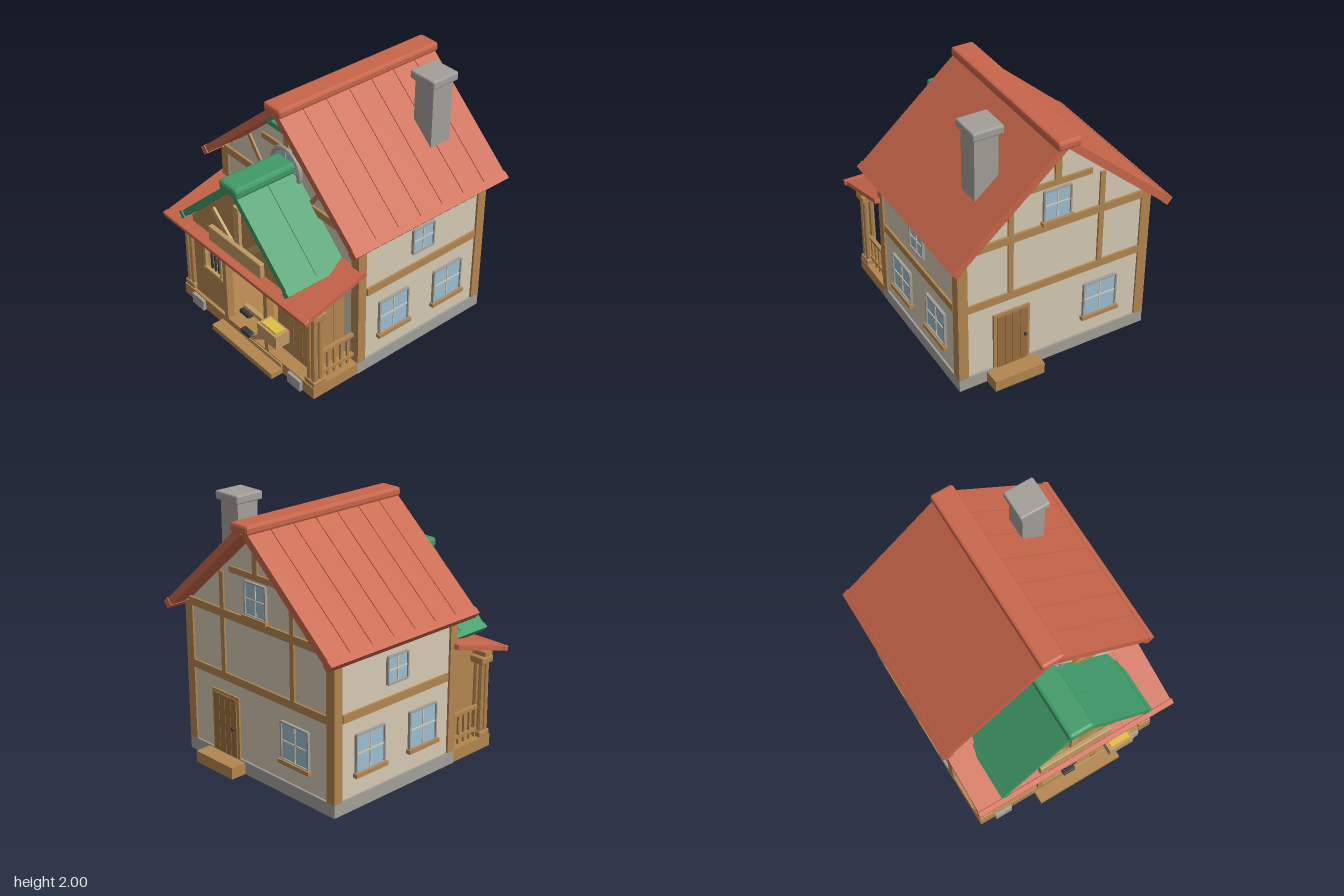
import * as THREE from 'three';
import { RoundedBoxGeometry } from 'three/addons/geometries/RoundedBoxGeometry.js';

const mat = (color) => new THREE.MeshStandardMaterial({ color, flatShading: true, side: THREE.DoubleSide });
const M = {
  red: mat(0xc8664a), green: mat(0x3f9a68), wood: mat(0xb3864f), dark: mat(0x9a6f40), light: mat(0xc09a63),
  cream: mat(0xd6cab4), stone: mat(0xa3a099), glass: mat(0x9bbfd2), iron: mat(0x34373c), yellow: mat(0xe0c040),
};

function mesh(parent, name, geo, m, x = 0, y = 0, z = 0) {
  const o = new THREE.Mesh(geo, m);
  o.name = name;
  o.position.set(x, y, z);
  parent.add(o);
  return o;
}

// Box given by its extents
function box(parent, name, m, x0, x1, y0, y1, z0, z1) {
  return mesh(parent, name, new THREE.BoxGeometry(x1 - x0, y1 - y0, z1 - z0), m, (x0 + x1) / 2, (y0 + y1) / 2, (z0 + z1) / 2);
}

// Box with chamfered edges
function chamferBox(parent, name, m, x0, x1, y0, y1, z0, z1, r = 0.015) {
  return mesh(parent, name, new RoundedBoxGeometry(x1 - x0, y1 - y0, z1 - z0, 1, r), m, (x0 + x1) / 2, (y0 + y1) / 2, (z0 + z1) / 2);
}

// Beam running between two points of the xy plane
function beam(parent, name, m, xa, ya, xb, yb, thick, z0, z1) {
  const o = mesh(parent, name, new THREE.BoxGeometry(Math.hypot(xb - xa, yb - ya), thick, z1 - z0), m, (xa + xb) / 2, (ya + yb) / 2, (z0 + z1) / 2);
  o.rotation.z = Math.atan2(yb - ya, xb - xa);
  return o;
}

function extrude(points, z0, z1) {
  const g = new THREE.ExtrudeGeometry(new THREE.Shape(points.map((p) => new THREE.Vector2(...p))), { depth: z1 - z0, bevelEnabled: false });
  return g.translate(0, 0, z0);
}

// Window facing +z, centred on its origin
function makeWindow(w, h, sill) {
  const g = new THREE.Group();
  g.name = 'window';
  box(g, 'glass', M.glass, -w / 2, w / 2, -h / 2, h / 2, -0.01, 0.008);
  for (const s of [-1, 1]) {
    box(g, 'windowFrame', M.stone, s * w / 2 - 0.006, s * w / 2 + 0.006, -h / 2, h / 2, -0.01, 0.02);
    box(g, 'windowFrame', M.stone, -w / 2, w / 2, s * h / 2 - 0.006, s * h / 2 + 0.006, -0.01, 0.02);
  }
  box(g, 'mullion', M.cream, -0.005, 0.005, -h / 2, h / 2, 0, 0.014);
  box(g, 'mullion', M.cream, -w / 2, w / 2, -0.005, 0.005, 0, 0.014);
  if (sill) box(g, 'sill', M.wood, -w / 2 - 0.02, w / 2 + 0.02, -h / 2 - 0.03, -h / 2, -0.01, 0.035);
  return g;
}

function placeWindow(parent, w, h, x, y, z, turn, sill = true) {
  const g = makeWindow(w, h, sill);
  g.position.set(x, y, z);
  g.rotation.y = turn;
  parent.add(g);
}

// Pitched roof: planks on a thin core, eave bars and a ridge cap
function gableRoof(parent, name, m, top, eave, thick, z0, z1, planks) {
  const g = new THREE.Group();
  g.name = name;
  const step = (z1 - z0) / planks;
  for (const s of [-1, 1]) {
    const [xa, ya, xb, yb] = [s * top[0], top[1], s * eave[0], eave[1]];
    beam(g, 'roofCore', m, xa, ya, xb, yb, thick * 0.75, z0 + 0.004, z1 - 0.004);
    for (let i = 0; i < planks; i++) beam(g, 'roofPlank', m, xa, ya, xb, yb, thick, z0 + i * step + 0.003, z0 + (i + 1) * step - 0.003);
    const f = 0.95;
    beam(g, 'eaveBar', m, xa + (xb - xa) * f, ya + (yb - ya) * f, xb, yb, thick * 1.15, z0 - 0.004, z1 + 0.004);
  }
  parent.add(g);
  return g;
}

function buildHouse(root) {
  const g = new THREE.Group();
  g.name = 'house';
  root.add(g);
  box(g, 'foundation', M.stone, -0.77, 0.77, 0, 0.1, -0.8, 0.41);
  mesh(g, 'walls', extrude([[-0.755, 0.1], [0.755, 0.1], [0.755, 1.17], [0, 1.83], [-0.755, 1.17]], -0.785, 0.395), M.cream);
  // Timber frame on the long sides
  for (const s of [-1, 1]) {
    for (const [a, b] of [[0.34, 0.41], [-0.8, -0.725]]) {
      box(g, 'cornerPost', M.wood, Math.min(s * 0.695, s * 0.772), Math.max(s * 0.695, s * 0.772), 0.1, 1.18, a, b);
    }
    box(g, 'sideBeam', M.wood, s * 0.76 - 0.012, s * 0.76 + 0.012, 0.675, 0.735, -0.715, 0.325);
    placeWindow(g, 0.27, 0.28, s * 0.757, 0.41, 0.07, s * Math.PI / 2);
    placeWindow(g, 0.27, 0.28, s * 0.757, 0.41, -0.455, s * Math.PI / 2);
    placeWindow(g, 0.195, 0.2, s * 0.757, 0.93, -0.195, s * Math.PI / 2, false);
    // Slanted braces of the front gable and posts of the back
    beam(g, 'gableBrace', M.wood, s * 0.24, 1.2, s * 0.43, 1.45, 0.035, 0.39, 0.41);
    box(g, 'backPost', M.wood, s * 0.36 - 0.02, s * 0.36 + 0.02, 0.72, 1.49, -0.8, -0.78);
  }
  // Front gable
  box(g, 'frontBeam', M.wood, -0.73, 0.73, 1.155, 1.215, 0.39, 0.415);
  box(g, 'gableBeam', M.wood, -0.27, 0.27, 1.505, 1.55, 0.39, 0.412);
  box(g, 'gablePost', M.wood, -0.025, 0.025, 1.5, 1.7, 0.39, 0.41);
  box(g, 'peakTie', M.green, -0.16, 0.16, 1.69, 1.73, 0.39, 0.45);
  for (const s of [-1, 1]) beam(g, 'peakTrim', M.green, 0, 1.845, s * 0.16, 1.705, 0.025, 0.39, 0.45);
  mesh(g, 'roundWindowFrame', new THREE.TorusGeometry(0.147, 0.02, 8, 32), M.stone, 0, 1.395, 0.41);
  mesh(g, 'roundWindowGlass', new THREE.CylinderGeometry(0.14, 0.14, 0.02, 32).rotateX(Math.PI / 2), M.glass, 0, 1.395, 0.405);
  box(g, 'roundWindowBar', M.stone, -0.006, 0.006, 1.26, 1.53, 0.41, 0.422);
  box(g, 'roundWindowBar', M.stone, -0.135, 0.135, 1.389, 1.401, 0.41, 0.422);
  placeWindow(g, 0.2, 0.26, -0.39, 0.41, 0.396, 0);
  // Back wall
  box(g, 'backBeam', M.wood, -0.72, 0.72, 0.675, 0.735, -0.8, -0.78);
  box(g, 'backBeam', M.wood, -0.73, 0.73, 1.155, 1.215, -0.803, -0.78);
  box(g, 'backGableBeam', M.wood, -0.27, 0.27, 1.505, 1.55, -0.8, -0.78);
  box(g, 'backGablePost', M.wood, -0.025, 0.025, 1.55, 1.82, -0.8, -0.78);
  placeWindow(g, 0.21, 0.24, 0, 1.36, -0.787, Math.PI);
  placeWindow(g, 0.27, 0.28, -0.38, 0.41, -0.787, Math.PI);
  box(g, 'backDoorFrame', M.wood, 0.205, 0.495, 0.1, 0.575, -0.8, -0.78);
  for (let i = 0; i < 4; i++) box(g, 'backDoorPlank', M.dark, 0.227 + i * 0.0615, 0.285 + i * 0.0615, 0.1, 0.555, -0.81, -0.79);
  mesh(g, 'backDoorKnob', new THREE.SphereGeometry(0.014, 10, 8), M.iron, 0.25, 0.33, -0.822);
  box(g, 'backStep', M.wood, 0.15, 0.55, 0, 0.09, -0.925, -0.8);
  // Roof and chimney
  const roof = gableRoof(g, 'mainRoof', M.red, [0.02, 1.873], [0.85, 1.143], 0.056, -0.915, 0.52, 7);
  chamferBox(roof, 'ridgeCap', M.red, -0.09, 0.09, 1.86, 1.93, -0.932, 0.528, 0.02);
  box(g, 'chimney', M.stone, 0.36, 0.54, 1.4, 1.95, -0.63, -0.45);
  chamferBox(g, 'chimneyCap', M.stone, 0.33, 0.565, 1.935, 2.0, -0.66, -0.425, 0.012);
}

function buildDoor(g) {
  const arch = (w, top) => {
    const s = new THREE.Shape();
    s.moveTo(-w, 0.1);
    s.lineTo(w, 0.1);
    s.absarc(0, top - w, w, 0, Math.PI);
    return s;
  };
  const opts = { bevelEnabled: false, curveSegments: 14 };
  mesh(g, 'doorFrame', new THREE.ExtrudeGeometry(arch(0.17, 0.67), { ...opts, depth: 0.03 }), M.wood, 0, 0, 0.39);
  mesh(g, 'frontDoor', new THREE.ExtrudeGeometry(arch(0.13, 0.63), { ...opts, depth: 0.012 }), M.dark, 0, 0, 0.42);
  for (const x of [-0.065, 0, 0.065]) box(g, 'doorSeam', M.wood, x - 0.003, x + 0.003, 0.1, 0.6, 0.43, 0.434);
  mesh(g, 'doorGlass', new THREE.CylinderGeometry(0.065, 0.065, 0.02, 24).rotateX(Math.PI / 2), M.glass, 0, 0.43, 0.435);
}

function buildPorch(root) {
  const g = new THREE.Group();
  g.name = 'porch';
  root.add(g);
  box(g, 'porchFloor', M.wood, -0.77, 0.77, 0.005, 0.1, 0.41, 0.815);
  box(g, 'frontStep', M.wood, -0.29, 0.42, 0.005, 0.05, 0.815, 0.915);
  buildDoor(g);
  for (const s of [-1, 1]) {
    box(g, 'stoneBlock', M.stone, s * 0.575 - 0.07, s * 0.575 + 0.07, 0, 0.09, 0.74, 0.84);
    // Clustered corner column with base and capital
    const x = s * 0.715;
    chamferBox(g, 'columnBase', M.wood, x - 0.055, x + 0.055, 0.1, 0.145, 0.7, 0.81, 0.008);
    for (const dx of [-0.024, 0.024]) for (const dz of [-0.024, 0.024]) {
      mesh(g, 'columnShaft', new THREE.CylinderGeometry(0.021, 0.024, 0.56, 8), M.wood, x + dx, 0.42, 0.755 + dz);
    }
    chamferBox(g, 'columnCapital', M.wood, x - 0.06, x + 0.06, 0.685, 0.74, 0.695, 0.815, 0.008);
    box(g, 'innerPost', M.wood, s * 0.24 - 0.02, s * 0.24 + 0.02, 0.1, 0.8, 0.755, 0.815);
    // Side railing
    for (const y of [0.16, 0.34]) box(g, 'rail', M.wood, x - 0.015, x + 0.015, y - 0.012, y + 0.012, 0.41, 0.74);
    for (let i = 0; i < 5; i++) box(g, 'baluster', M.wood, x - 0.009, x + 0.009, 0.1, 0.34, 0.45 + i * 0.06, 0.468 + i * 0.06);
  }
  box(g, 'lintel', M.wood, -0.77, 0.77, 0.735, 0.775, 0.73, 0.81);

  // Plank store on the left, plank screen with a barred opening on the right
  box(g, 'plankStore', M.wood, 0.25, 0.62, 0.1, 0.8, 0.41, 0.71);
  for (const z of [0.51, 0.61]) box(g, 'plankSeam', M.dark, 0.619, 0.624, 0.1, 0.8, z - 0.003, z + 0.003);
  for (const x of [0.42, 0.52]) box(g, 'plankSeam', M.dark, x - 0.003, x + 0.003, 0.1, 0.78, 0.709, 0.714);
  box(g, 'screenSide', M.wood, -0.645, -0.625, 0.1, 0.8, 0.41, 0.77);
  const screen = new THREE.Shape([[-0.645, 0.1], [-0.24, 0.1], [-0.24, 0.76], [-0.645, 0.76]].map((p) => new THREE.Vector2(...p)));
  screen.holes.push(new THREE.Path([[-0.485, 0.42], [-0.485, 0.62], [-0.31, 0.62], [-0.31, 0.42]].map((p) => new THREE.Vector2(...p))));
  mesh(g, 'screen', new THREE.ExtrudeGeometry(screen, { depth: 0.025, bevelEnabled: false }), M.wood, 0, 0, 0.765);
  for (const y of [0.41, 0.63]) box(g, 'openingFrame', M.light, -0.51, -0.285, y - 0.013, y + 0.013, 0.78, 0.81);
  for (const x of [-0.495, -0.3]) box(g, 'openingFrame', M.light, x - 0.011, x + 0.011, 0.41, 0.63, 0.78, 0.805);
  for (const x of [-0.44, -0.397, -0.354]) box(g, 'ironBar', M.iron, x - 0.006, x + 0.006, 0.42, 0.62, 0.77, 0.785);

  // Gate with hinges and a planter
  for (const y of [0.075, 0.36]) box(g, 'gateRail', M.light, 0, 0.42, y - 0.017, y + 0.017, 0.79, 0.825);
  beam(g, 'gateBrace', M.light, 0.06, 0.1, 0.4, 0.34, 0.035, 0.795, 0.82);
  for (const y of [0.12, 0.305]) chamferBox(g, 'hinge', M.iron, -0.04, 0.065, y - 0.017, y + 0.017, 0.79, 0.84, 0.008);
  box(g, 'planter', M.light, 0.295, 0.505, 0.35, 0.46, 0.81, 0.93);
  box(g, 'planterFill', M.yellow, 0.32, 0.48, 0.46, 0.473, 0.83, 0.91);

  // Sloping porch roof
  const roof = new THREE.Group();
  roof.name = 'porchRoof';
  roof.position.set(0, 0.85, 0.645);
  roof.rotation.x = Math.atan2(0.15, 0.53);
  box(roof, 'roofCore', M.red, -0.81, 0.81, -0.012, 0.012, -0.275, 0.275);
  for (let i = 0; i < 8; i++) box(roof, 'roofPlank', M.red, -0.815 + i * 0.204, -0.615 + i * 0.204, -0.018, 0.018, -0.28, 0.28);
  chamferBox(roof, 'eaveBar', M.red, -0.825, 0.825, -0.022, 0.022, 0.245, 0.29, 0.008);
  g.add(roof);

  // Porch gable
  mesh(g, 'porchGable', extrude([[-0.57, 0.8], [0.57, 0.8], [0.57, 0.87], [0, 1.41], [-0.57, 0.87]], 0.41, 0.835), M.wood);
  box(g, 'gablePost', M.light, -0.03, 0.03, 0.88, 1.255, 0.83, 0.86);
  for (const s of [-1, 1]) beam(g, 'gableBrace', M.light, s * 0.04, 0.87, s * 0.29, 1.085, 0.045, 0.83, 0.855);
  chamferBox(g, 'gableBoard', M.light, -0.3, 0.3, 0.825, 0.95, 0.85, 0.89, 0.008);
  const top = gableRoof(g, 'porchGableRoof', M.green, [0.0, 1.44], [0.612, 0.872], 0.05, 0.38, 0.905, 2);
  chamferBox(top, 'ridgeCap', M.green, -0.1, 0.1, 1.385, 1.47, 0.38, 0.92, 0.025);
}

export function createModel() {
  const root = new THREE.Group();
  root.name = 'cottage';
  buildHouse(root);
  buildPorch(root);
  return root;
}
